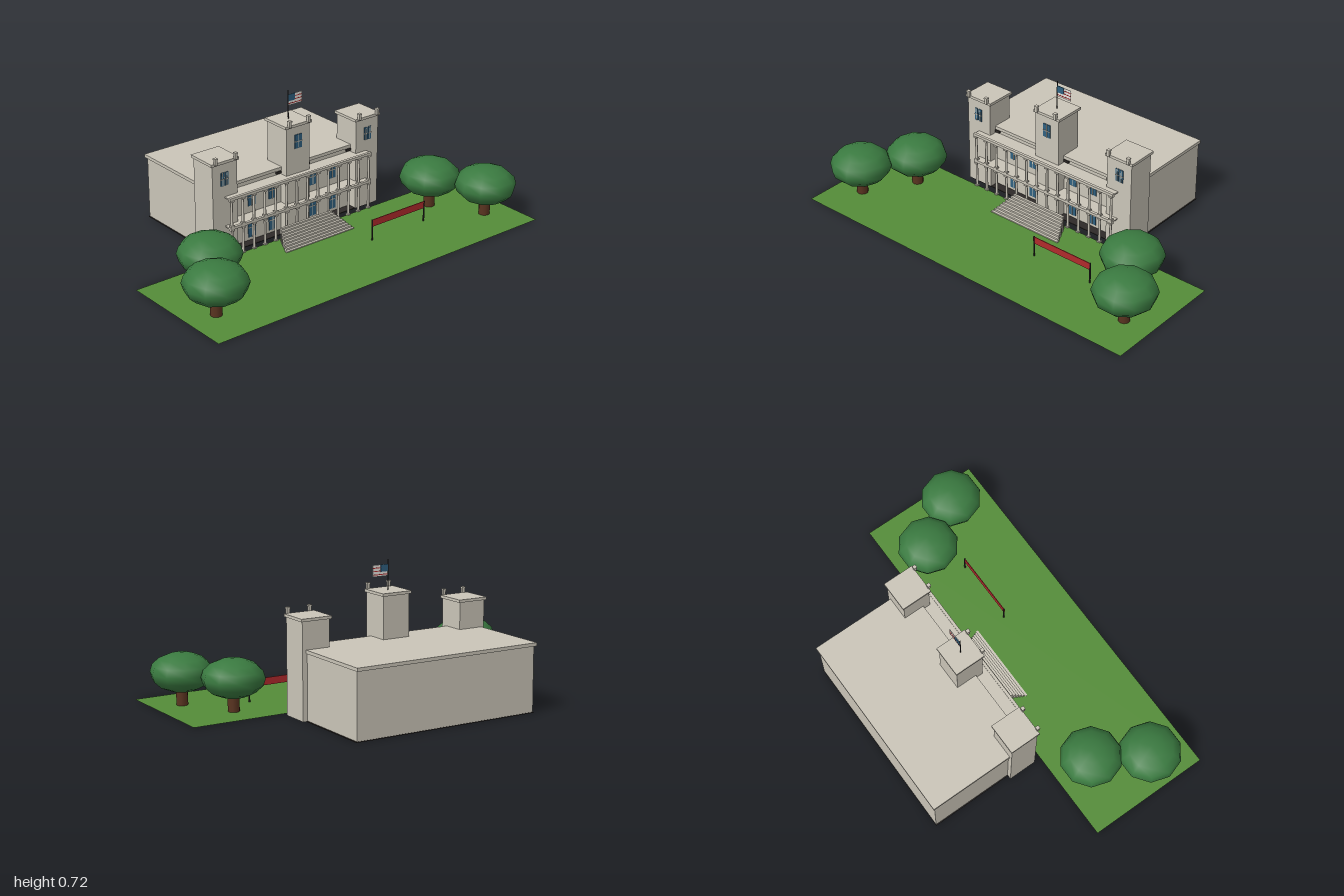
import * as THREE from 'three';

const mat = (name, color) => {
  const m = new THREE.MeshStandardMaterial({ color });
  m.name = name;
  return m;
};

export function createModel() {
  const stone = mat('stone', 0xcac5b8);
  const grass = mat('grass', 0x548c38);
  const leaf = mat('leaf', 0x3a7a40);
  const bark = mat('bark', 0x5a3420);
  const glass = mat('glass', 0x2f6080);
  const red = mat('red', 0xb02a2c);
  const dark = mat('dark', 0x2e2a28);
  const white = mat('white', 0xe8e6e0);
  grass.side = THREE.DoubleSide;

  const root = new THREE.Group();
  root.name = 'mansion';
  const group = (name, parent = root) => {
    const g = new THREE.Group();
    g.name = name;
    parent.add(g);
    return g;
  };
  const add = (name, geo, m, x, y, z, parent) => {
    const mesh = new THREE.Mesh(geo, m);
    mesh.name = name;
    mesh.position.set(x, y, z);
    parent.add(mesh);
    return mesh;
  };
  // box given by its extents on each axis
  const box = (name, m, x0, x1, y0, y1, z0, z1, parent = root) =>
    add(name, new THREE.BoxGeometry(x1 - x0, y1 - y0, z1 - z0), m,
      (x0 + x1) / 2, (y0 + y1) / 2, (z0 + z1) / 2, parent);

  // lawn
  const lawn = add('lawn', new THREE.PlaneGeometry(1.99, 0.643), grass, 0, 0.002, 0.3135, root);
  lawn.rotation.x = -Math.PI / 2;

  // main block
  const hall = group('mainBlock');
  box('walls', stone, -0.495, 0.495, 0.002, 0.327, -0.628, -0.09, hall);
  box('roof', stone, -0.505, 0.5, 0.327, 0.344, -0.638, -0.083, hall);
  box('floor', dark, -0.5, 0.5, 0, 0.004, -0.63, -0.044, hall);

  // pane with a thin stone cross on its face
  function window_(x, y0, y1, w, z, parent) {
    const g = group('window', parent);
    const y = (y0 + y1) / 2;
    box('pane', glass, x - w / 2, x + w / 2, y0, y1, z, z + 0.004, g);
    box('mullion', stone, x - 0.002, x + 0.002, y0, y1, z, z + 0.006, g);
    box('transom', stone, x - w / 2, x + w / 2, y - 0.002, y + 0.002, z, z + 0.006, g);
  }
  for (const x of [-0.256, -0.128, 0.128, 0.256]) {
    window_(x, 0.19, 0.28, 0.044, -0.09, hall);
    window_(x, 0.02, 0.125, 0.044, -0.09, hall);
  }
  for (const x of [-0.36, -0.09, 0.09, 0.36])
    box('darkBracket', dark, x - 0.015, x + 0.015, 0.312, 0.325, -0.09, -0.08, hall);

  // towers with cornice and front finials
  function tower(name, x, top) {
    const g = group(name);
    box('shaft', stone, x - 0.073, x + 0.073, 0.002, top, -0.193, -0.044, g);
    box('cornice', stone, x - 0.082, x + 0.082, top, top + 0.014, -0.202, -0.038, g);
    for (const s of [-1, 1]) {
      const fx = x + s * 0.059;
      box('finial', stone, fx - 0.007, fx + 0.007, top + 0.008, top + 0.036, -0.042, -0.028, g);
      box('finialCap', stone, fx - 0.009, fx + 0.009, top + 0.036, top + 0.043, -0.044, -0.026, g);
    }
    return g;
  }
  const centre = tower('centreTower', 0, 0.555);
  window_(0, 0.44, 0.512, 0.044, -0.044, centre);
  for (const s of [-1, 1]) {
    const g = tower(s < 0 ? 'rightTower' : 'leftTower', s * 0.447, 0.48);
    for (const o of [-1, 1]) window_(s * 0.45 + o * 0.0125, 0.366, 0.434, 0.019, -0.044, g);
  }

  // two-storey portico
  const portico = group('portico');
  for (const y of [0.157, 0.31]) {
    box('deck', stone, -0.45, 0.443, y - 0.01, y - 0.004, -0.09, -0.004, portico);
    box('beam', stone, -0.45, 0.443, y - 0.014, y, -0.015, 0, portico);
  }
  const shaft = new THREE.CylinderGeometry(0.006, 0.007, 1, 8);
  const n = 14;
  for (let i = 0; i < n; i++) {
    const x = -0.437 + i * 0.868 / (n - 1);
    for (const [y0, y1] of [[0, 0.143], [0.157, 0.296]]) {
      add('column', shaft, stone, x, (y0 + y1) / 2, -0.008, portico).scale.y = y1 - y0;
      box('base', stone, x - 0.009, x + 0.009, y0, y0 + 0.008, -0.017, 0.001, portico);
      box('capital', stone, x - 0.01, x + 0.01, y1 - 0.008, y1, -0.018, 0.002, portico);
    }
  }

  // flared front stairs
  const stairs = group('stairs');
  const steps = 9;
  for (let i = 0; i < steps; i++) {
    const w = 0.215 - 0.054 * i / (steps - 1);
    const z = 0.135 - i * 0.0133;
    box('step', stone, -w, w, 0.003, 0.008 + i * 0.0085, z - 0.0133, z, stairs);
  }

  // flagpole and flag
  const flag = group('flag');
  add('pole', new THREE.CylinderGeometry(0.0025, 0.0025, 0.15, 8), dark, 0, 0.643, -0.12, flag);
  box('cloth', white, 0, 0.086, 0.638, 0.695, -0.121, -0.119, flag);
  for (const y of [0.647, 0.664, 0.68])
    box('stripe', red, 0.002, 0.086, y - 0.002, y + 0.002, -0.1218, -0.1182, flag);
  box('canton', glass, 0, 0.042, 0.66, 0.695, -0.1224, -0.1176, flag);

  // banner on two posts
  const sign = group('banner');
  box('cloth', red, 0.195, 0.546, 0.075, 0.112, 0.286, 0.29, sign);
  for (const x of [0.199, 0.543])
    add('post', new THREE.CylinderGeometry(0.004, 0.004, 0.112, 8), dark, x, 0.057, 0.288, sign);

  // trees
  const canopy = new THREE.SphereGeometry(1, 10, 8);
  const trunk = new THREE.CylinderGeometry(0.029, 0.029, 0.11, 10);
  for (const s of [-1, 1]) {
    for (const [x, z] of [[0.695, 0.165], [0.845, 0.415]]) {
      const g = group('tree');
      add('trunk', trunk, bark, s * x, 0.056, z, g);
      add('canopy', canopy, leaf, s * x, 0.166, z, g).scale.set(0.156, 0.097, 0.158);
    }
  }
  return root;
}
